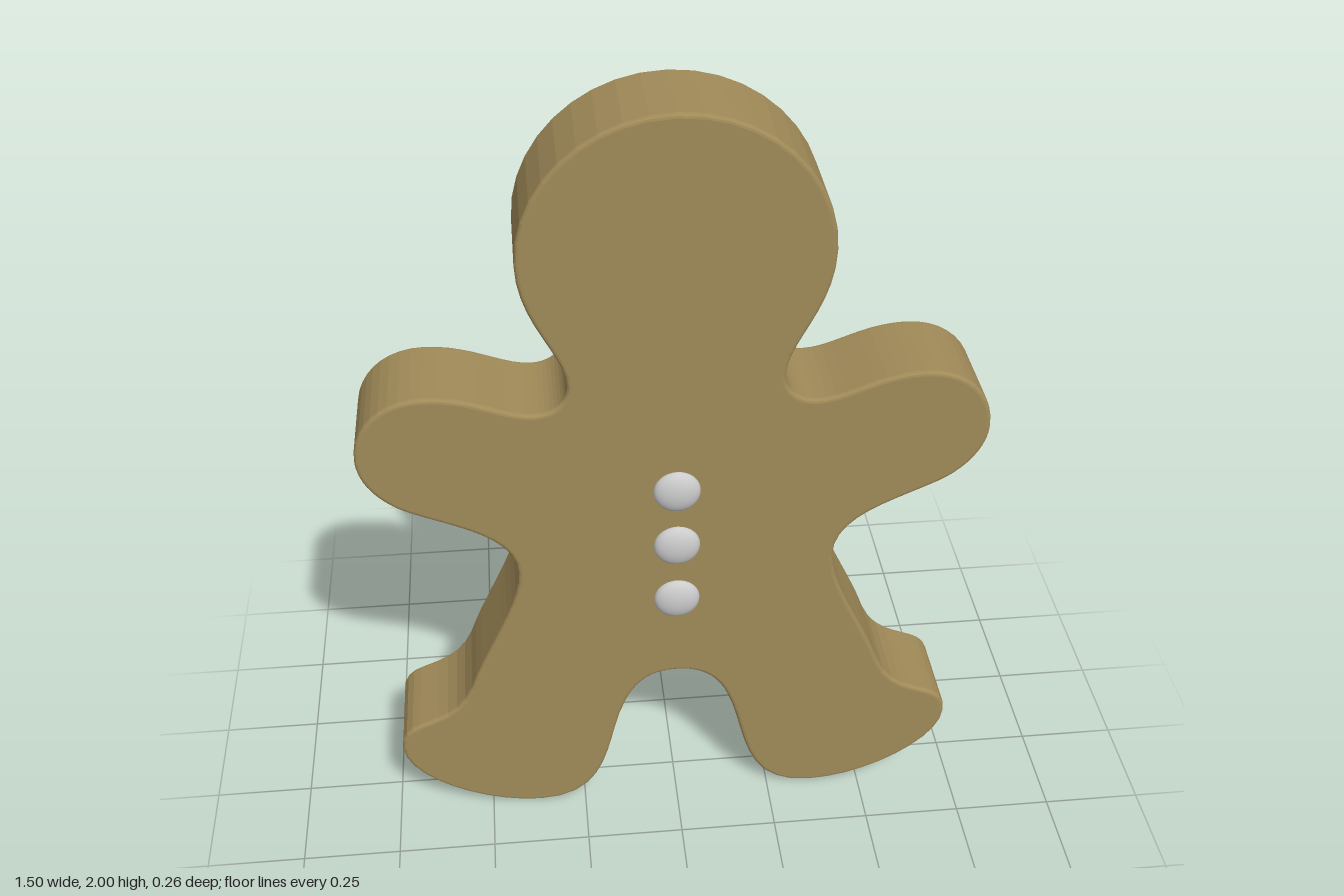
import * as THREE from 'three';

// Left half of the outline, from the crown down to the crotch
function halfOutline() {
  const p = new THREE.Path();
  p.moveTo(0, 2);
  p.bezierCurveTo(0.2, 2, 0.355, 1.84, 0.355, 1.66);      // head
  p.bezierCurveTo(0.355, 1.51, 0.252, 1.43, 0.252, 1.34); // cheek to neck
  p.bezierCurveTo(0.252, 1.3, 0.285, 1.27, 0.33, 1.27);   // neck
  p.bezierCurveTo(0.4, 1.27, 0.47, 1.33, 0.58, 1.33);     // top of arm
  p.bezierCurveTo(0.68, 1.33, 0.75, 1.26, 0.75, 1.165);   // hand
  p.bezierCurveTo(0.75, 1.1, 0.7, 1.04, 0.64, 1.01);
  p.bezierCurveTo(0.53, 0.955, 0.39, 0.92, 0.39, 0.8);    // armpit
  p.bezierCurveTo(0.39, 0.7, 0.49, 0.55, 0.53, 0.43);     // hip and leg
  p.bezierCurveTo(0.59, 0.28, 0.725, 0.35, 0.725, 0.23);  // ankle and toe
  p.bezierCurveTo(0.725, 0.12, 0.53, 0, 0.37, 0);         // sole
  p.bezierCurveTo(0.17, 0, 0.19, 0.22, 0.135, 0.345);     // heel and inner leg
  p.bezierCurveTo(0.105, 0.42, 0.06, 0.447, 0, 0.447);    // crotch
  return p.getPoints(10);
}

export function createModel() {
  const group = new THREE.Group();
  const front = 0.105, back = -0.13, bevel = 0.01;

  // Body: mirrored outline, extruded with a slim rounded edge
  const half = halfOutline();
  const mirrored = half.slice(1, -1).reverse().map((v) => new THREE.Vector2(-v.x, v.y));
  const bodyGeometry = new THREE.ExtrudeGeometry(new THREE.Shape([...half, ...mirrored]), {
    depth: front - back - 2 * bevel,
    bevelEnabled: true,
    bevelThickness: bevel,
    bevelSize: bevel,
    bevelOffset: -bevel,
    bevelSegments: 3,
  });
  bodyGeometry.translate(0, 0, back + bevel);
  const body = new THREE.Mesh(bodyGeometry, new THREE.MeshStandardMaterial({ color: 0xa08a58 }));
  body.name = 'body';
  group.add(body);

  // Three domed buttons down the chest
  const buttonGeometry = new THREE.SphereGeometry(0.057, 32, 16);
  const buttonMaterial = new THREE.MeshStandardMaterial({ color: 0xcccccc });
  [1.03, 0.865, 0.695].forEach((y, i) => {
    const button = new THREE.Mesh(buttonGeometry, buttonMaterial);
    button.name = `button${i + 1}`;
    button.scale.z = 0.45;
    button.position.set(0, y, front);
    group.add(button);
  });

  return group;
}
